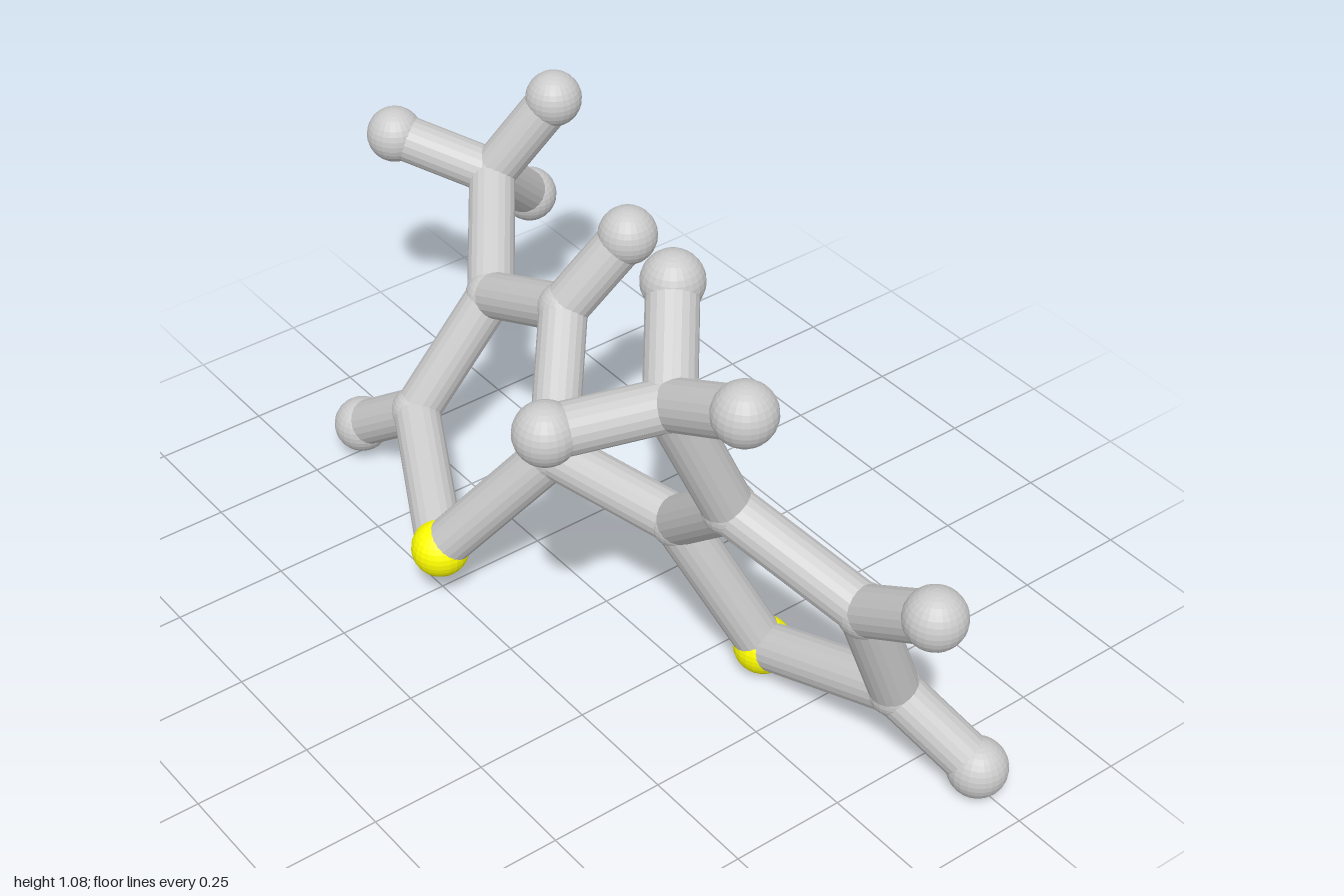
import * as THREE from 'three';

const STICK = 0.051;
const grey = new THREE.MeshStandardMaterial({ color: 0xcccccc, flatShading: true });
const yellow = new THREE.MeshStandardMaterial({ color: 0xffff00, flatShading: true });

// Ball types: carbon joints barely swell past the sticks
const kinds = {
  carbon: { radius: 0.055, material: grey },
  hydrogen: { radius: 0.062, material: grey },
  sulfur: { radius: 0.062, material: yellow },
};

// Each half: a five-sided ring with hydrogens and a methyl group
const halves = {
  rightHalf: {
    sulfur: { s: [-0.225, 0.138, 0.267] },
    carbon: {
      c2: [-0.04, 0.43, 0.105], c3: [-0.243, 0.6, -0.072], c4: [-0.52, 0.475, -0.08],
      c5: [-0.56, 0.22, 0.098], methyl: [-0.762, 0.597, -0.258],
    },
    hydrogen: {
      h3: [-0.18, 0.767, -0.19], h5: [-0.74, 0.088, 0.13],
      m1: [-0.938, 0.66, -0.12], m2: [-0.682, 0.784, -0.37], m3: [-0.842, 0.438, -0.414],
    },
    bonds: 's-c2 c2-c3 c3-c4 c4-c5 c5-s c3-h3 c5-h5 c4-methyl methyl-m1 methyl-m2 methyl-m3',
  },
  leftHalf: {
    sulfur: { s: [0.363, 0.075, -0.128] },
    carbon: {
      c2: [0.252, 0.4, 0.015], c3: [0.466, 0.595, 0.062], c4: [0.74, 0.473, -0.045],
      c5: [0.725, 0.2, -0.157], methyl: [0.443, 0.883, 0.19],
    },
    hydrogen: {
      h4: [0.938, 0.6, -0.032], h5: [0.885, 0.067, -0.24],
      m1: [0.29, 1.018, 0.066], m2: [0.655, 0.992, 0.193], m3: [0.366, 0.873, 0.413],
    },
    bonds: 's-c2 c2-c3 c3-c4 c4-c5 c5-s c4-h4 c5-h5 c3-methyl methyl-m1 methyl-m2 methyl-m3',
  },
};

function ball(kind, position) {
  const { radius, material } = kinds[kind];
  const mesh = new THREE.Mesh(new THREE.SphereGeometry(radius, 24, 16), material);
  mesh.name = `${kind}Ball`;
  mesh.position.copy(position);
  return mesh;
}

// Cylinder running from one ball centre to another
function stick(a, b) {
  const dir = b.clone().sub(a);
  const mesh = new THREE.Mesh(new THREE.CylinderGeometry(STICK, STICK, dir.length(), 20), grey);
  mesh.name = 'bondStick';
  mesh.position.copy(a).lerp(b, 0.5);
  mesh.quaternion.setFromUnitVectors(new THREE.Vector3(0, 1, 0), dir.normalize());
  return mesh;
}

export function createModel() {
  const model = new THREE.Group();
  model.name = 'stickMolecule';
  const linkEnds = [];

  for (const [name, half] of Object.entries(halves)) {
    const group = new THREE.Group();
    group.name = name;
    const atoms = {};
    for (const kind of Object.keys(kinds)) {
      for (const [id, p] of Object.entries(half[kind])) {
        atoms[id] = new THREE.Vector3(...p);
        group.add(ball(kind, atoms[id]));
      }
    }
    for (const bond of half.bonds.split(' ')) {
      const [a, b] = bond.split('-');
      group.add(stick(atoms[a], atoms[b]));
    }
    linkEnds.push(atoms.c2);
    model.add(group);
  }

  // Bond joining the two rings
  const link = stick(...linkEnds);
  link.name = 'linkStick';
  model.add(link);
  return model;
}
